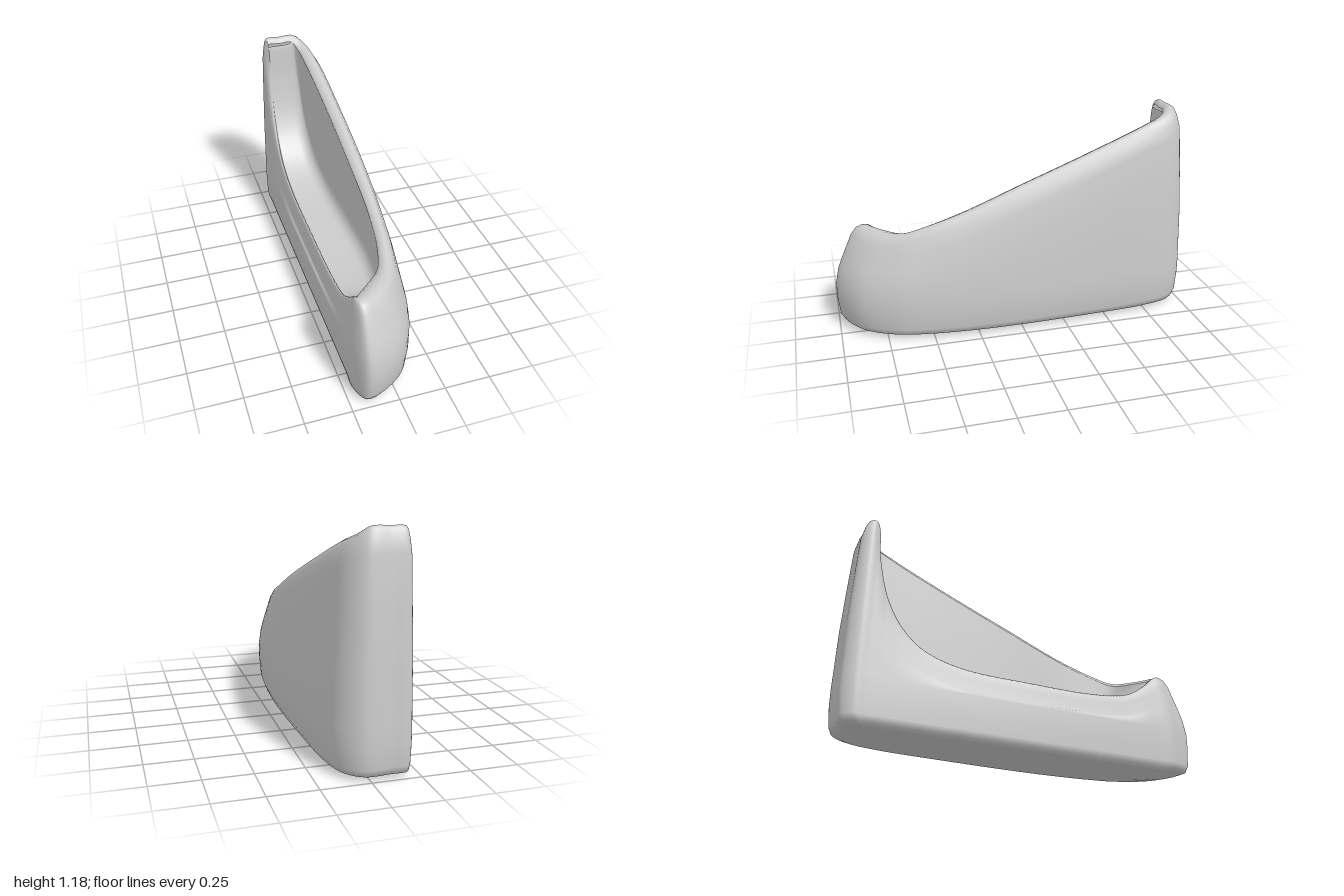
import * as THREE from 'three';

// Stations round the body: inner rim x, z, crest height, outer wall x, z
const wall = [
  [-0.17, -0.88, 1.175, -0.18, -0.995], [-0.1, -0.872, 1.178, -0.1, -1], [-0.03, -0.87, 1.178, 0.04, -1],
  [0, -0.83, 1.14, 0.13, -0.92], [0.015, -0.74, 1.1, 0.178, -0.75], [0.04, -0.4, 0.97, 0.203, -0.4],
  [0.055, 0, 0.82, 0.216, 0], [0.06, 0.3, 0.705, 0.212, 0.25], [0.04, 0.5, 0.63, 0.19, 0.52],
  [0, 0.62, 0.585, 0.15, 0.72], [-0.09, 0.71, 0.578, 0.04, 0.91], [-0.17, 0.78, 0.578, -0.16, 1],
];
// Low open side, front to back; its height also sets the scooped floor
const openSide = [
  [0.77, 0.57, 0.89], [0.7, 0.5, 0.77], [0.6, 0.43, 0.62], [0.4, 0.395, 0.4], [0, 0.39, 0], [-0.4, 0.405, -0.4],
  [-0.6, 0.47, -0.62], [-0.72, 0.58, -0.74], [-0.8, 0.73, -0.82], [-0.852, 0.96, -0.88], [-0.87, 1.165, -0.94],
].map(([z, h, zo]) => [-0.17, z, h, -0.216, zo]);

const stations = [...wall, ...openSide];
const PER = 10;
const COUNT = stations.length * PER;
const lerp = THREE.MathUtils.lerp;

const innerCurve = new THREE.CatmullRomCurve3(stations.map((s) => new THREE.Vector3(s[0], s[2], s[1])), true);
const outerCurve = new THREE.CatmullRomCurve3(stations.map((s) => new THREE.Vector3(s[3], 0, s[4])), true);
const samples = Array.from({ length: COUNT }, (_, i) => ({
  inner: innerCurve.getPoint(i / COUNT),
  outer: outerCurve.getPoint(i / COUNT),
}));

// Smooth surface through rows of points
function surface(rows, closed, flip) {
  const n = rows[0].length;
  const index = [];
  const last = closed ? rows.length : rows.length - 1;
  for (let i = 0; i < last; i++) {
    for (let j = 0; j < n - 1; j++) {
      const a = i * n + j;
      const b = ((i + 1) % rows.length) * n + j;
      if (flip) index.push(a, a + 1, b, b, a + 1, b + 1);
      else index.push(a, b, a + 1, b, b + 1, a + 1);
    }
  }
  const geometry = new THREE.BufferGeometry();
  geometry.setAttribute('position', new THREE.Float32BufferAttribute(rows.flat(2), 3));
  geometry.setIndex(index);
  geometry.computeVertexNormals();
  return geometry;
}

// Floor height at a given z, read off the open side
function floorHeight(z) {
  const side = samples.slice(wall.length * PER).map((s) => s.inner);
  const k = side.findIndex((p) => p.z <= z);
  if (k === 0) return side[0].y - 0.03;
  if (k < 0) return side[side.length - 1].y - 0.03;
  const a = side[k - 1], b = side[k];
  return lerp(a.y, b.y, (a.z - z) / (a.z - b.z)) - 0.03;
}

// Rolled rim, bulging outer wall, bevelled foot and underside
function shellRow({ inner, outer }) {
  const h = inner.y;
  const profile = [
    [0, h - 0.03], [0.08, h - 0.01], [0.25, h], [0.4, h - 0.012], [0.54, h - 0.05], [0.68, h - 0.12],
    [0.8, lerp(h - 0.12, 0.25, 0.28)], [0.92, lerp(h - 0.12, 0.25, 0.6)],
    [1, 0.25], [1, 0.16], [0.95, 0.06], [0.86, 0.025],
  ];
  const row = profile.map(([t, y]) => [lerp(inner.x, outer.x, t), y, lerp(inner.z, outer.z, t)]);
  const foot = row[row.length - 1];
  row.push([lerp(foot[0], 0, 0.15), 0.012, foot[2] * 0.96]);
  row.push([lerp(foot[0], 0, 0.5), 0.004, foot[2] * 0.88]);
  row.push([0, 0, foot[2] * 0.8]);
  return row;
}

// Inner wall dropping from the rim, filleted into the floor
function cavityRow({ inner }) {
  const { x, z } = inner;
  const top = inner.y - 0.03;
  const floor = Math.min(floorHeight(z), top);
  const room = top - floor;
  const fillet = Math.min(0.07, room);
  const bend = Math.min(0.06, (x + 0.17) * 0.4);
  const row = [0, 0.33, 0.66].map((t) => [x, lerp(top, floor + fillet, t), z]);
  for (let k = 0; k <= 4; k++) {
    const a = (k / 4) * Math.PI / 2;
    row.push([x - bend * (1 - Math.cos(a)), floor + fillet * (1 - Math.sin(a)), z]);
  }
  for (let k = 1; k <= 4; k++) row.push([lerp(x - bend, -0.17, k / 4), floor, z]);
  return row;
}

export function createModel() {
  const group = new THREE.Group();
  const material = new THREE.MeshStandardMaterial({ color: 0xcccccc, side: THREE.DoubleSide });
  const add = (name, geometry) => {
    const mesh = new THREE.Mesh(geometry, material);
    mesh.name = name;
    group.add(mesh);
  };
  add('outerShell', surface(samples.map(shellRow), true, false));
  const lined = samples.slice(2 * PER, (wall.length - 1) * PER + 1);
  add('innerPocket', surface(lined.map(cavityRow), false, true));
  return group;
}
